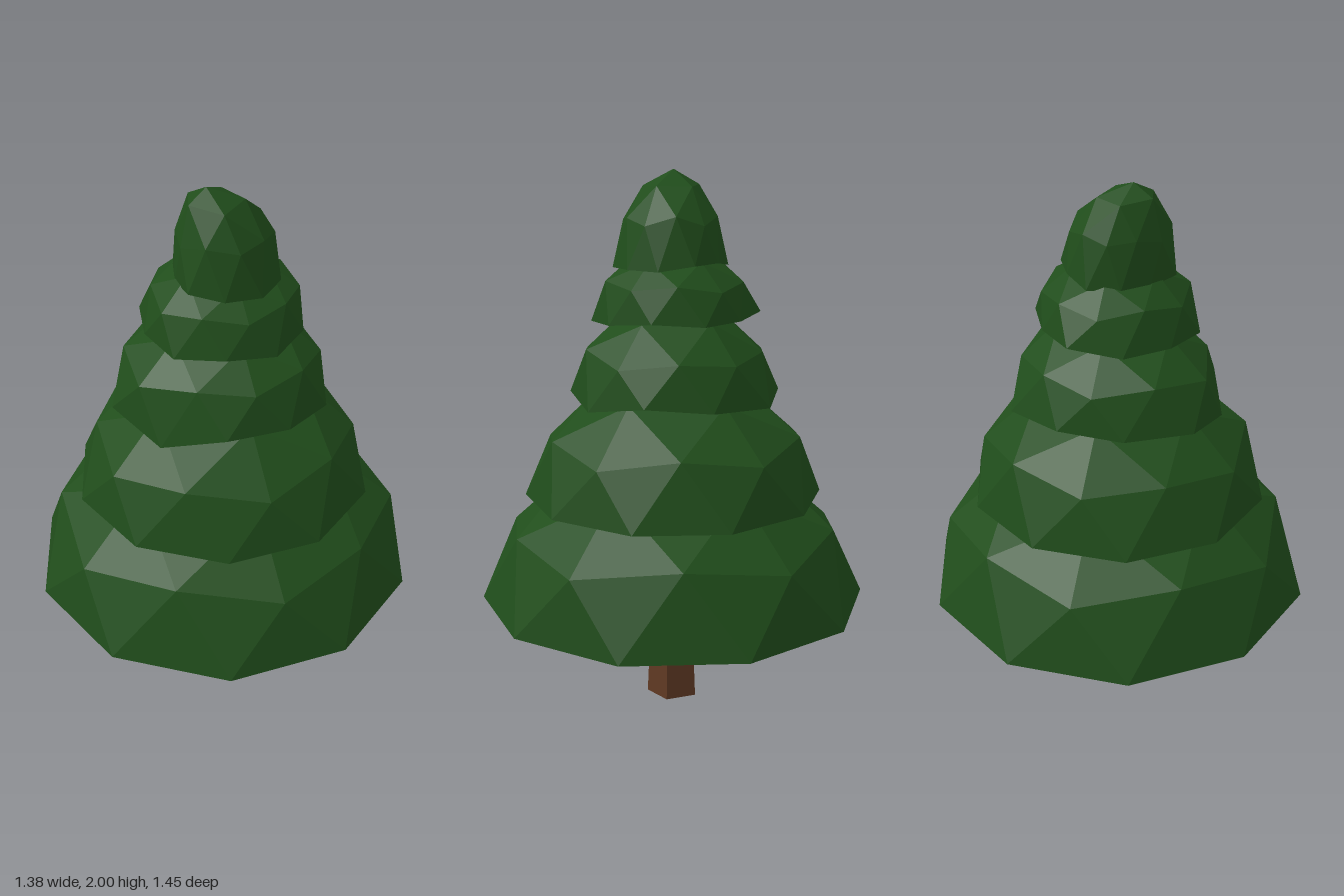
import * as THREE from 'three';

const leaf = new THREE.MeshStandardMaterial({ color: 0x204d1b, flatShading: true, side: THREE.DoubleSide });
const bark = new THREE.MeshStandardMaterial({ color: 0x5f3923, flatShading: true });

// Small repeatable noise in -1..1
function makeNoise(seed) {
  let s = seed;
  return () => ((s = (s * 16807) % 2147483647) / 2147483647) * 2 - 1;
}

// Open faceted dome: 10-point rim, 10-point shoulder, 5-point crown and a tip
function foliageTier({ y, height, radii, lift, lean = [0, 0], wobble, seed }) {
  const noise = makeNoise(seed);
  const points = [];
  const add = (angle, r, t, dy = 0) => {
    points.push(
      r * Math.sin(angle) + lean[0] * t ** 3,
      y + height * t + dy,
      r * Math.cos(angle) + lean[1] * t ** 3
    );
  };
  const step = Math.PI / 5;
  const shoulderRadius = (k) => (radii[k % 10] + radii[(k + 1) % 10]) / 2;

  for (let k = 0; k < 10; k++) add(k * step, radii[k], 0, lift[k]);
  for (let k = 0; k < 10; k++) {
    const [r, t] = k % 2 ? [0.85, 0.526] : [0.894, 0.447];
    add((k + 0.5) * step, shoulderRadius(k) * r * (1 + wobble * noise()), t, height * wobble * noise());
  }
  for (let k = 0; k < 10; k += 2) {
    add((k + 0.5) * step, shoulderRadius(k) * 0.526, 0.85, height * wobble * noise());
  }
  add(0, 0, 1);

  const rim = (k) => (k + 10) % 10;
  const shoulder = (k) => 10 + ((k + 10) % 10);
  const crown = (k) => 20 + ((k + 10) % 10) / 2;
  const faces = [];
  for (let k = 0; k < 10; k++) {
    faces.push(shoulder(k), rim(k), rim(k + 1));
    faces.push(shoulder(k), rim(k + 1), shoulder(k + 1));
  }
  for (let k = 0; k < 10; k += 2) {
    faces.push(crown(k), shoulder(k - 1), shoulder(k));
    faces.push(crown(k), shoulder(k), shoulder(k + 1));
    faces.push(crown(k), shoulder(k + 1), crown(k + 2));
    faces.push(25, crown(k), crown(k + 2));
  }
  const geometry = new THREE.BufferGeometry();
  geometry.setAttribute('position', new THREE.Float32BufferAttribute(points, 3));
  geometry.setIndex(faces);
  const flat = geometry.toNonIndexed();
  flat.computeVertexNormals();
  return new THREE.Mesh(flat, leaf);
}

// Five-sided tapered trunk, leaning slightly towards the tip of the tree
function trunk() {
  const height = 1.75;
  const geometry = new THREE.CylinderGeometry(0.022, 0.1, height, 5);
  geometry.rotateY(Math.PI);
  geometry.translate(0, height / 2, 0);
  const p = geometry.attributes.position;
  for (let i = 0; i < p.count; i++) {
    p.setX(i, p.getX(i) - 0.027 * p.getY(i));
    p.setZ(i, p.getZ(i) + 0.017 * p.getY(i));
  }
  geometry.computeVertexNormals();
  return new THREE.Mesh(geometry, bark);
}

export function createModel() {
  const tree = new THREE.Group();
  tree.name = 'pineTree';

  const stem = trunk();
  stem.name = 'trunk';
  tree.add(stem);

  const level = Array(10).fill(0);
  // Rims run from the front (+z) round by +x
  const tiers = [
    { name: 'bottomFoliage', y: 0.4, height: 0.57, radii: Array(10).fill(0.725), lift: level, wobble: 0.02, seed: 11 },
    { name: 'lowerFoliage', y: 0.805, height: 0.45, radii: Array(10).fill(0.555), lift: level, wobble: 0.02, seed: 23 },
    {
      name: 'middleFoliage', y: 1.19, height: 0.33, wobble: 0.03, seed: 37,
      radii: [0.385, 0.38, 0.39, 0.395, 0.39, 0.41, 0.39, 0.39, 0.42, 0.39],
      lift: [0.02, 0.01, -0.02, 0.02, 0, -0.01, 0.01, 0, 0, -0.05],
    },
    {
      name: 'upperFoliage', y: 1.48, height: 0.25, wobble: 0.03, seed: 41,
      radii: [0.295, 0.3, 0.295, 0.3, 0.31, 0.285, 0.32, 0.31, 0.29, 0.3],
      lift: [0, -0.02, -0.01, 0.01, 0, 0, 0.01, -0.01, -0.01, -0.02],
    },
    {
      name: 'topFoliage', y: 1.66, height: 0.34, lean: [-0.055, 0.035], wobble: 0.03, seed: 53,
      radii: [0.215, 0.22, 0.21, 0.21, 0.21, 0.19, 0.2, 0.18, 0.175, 0.21],
      lift: [0, -0.005, 0, 0, 0.02, 0.02, 0, 0, 0, 0.01],
    },
  ];
  for (const tier of tiers) {
    const mesh = foliageTier(tier);
    mesh.name = tier.name;
    tree.add(mesh);
  }
  return tree;
}
